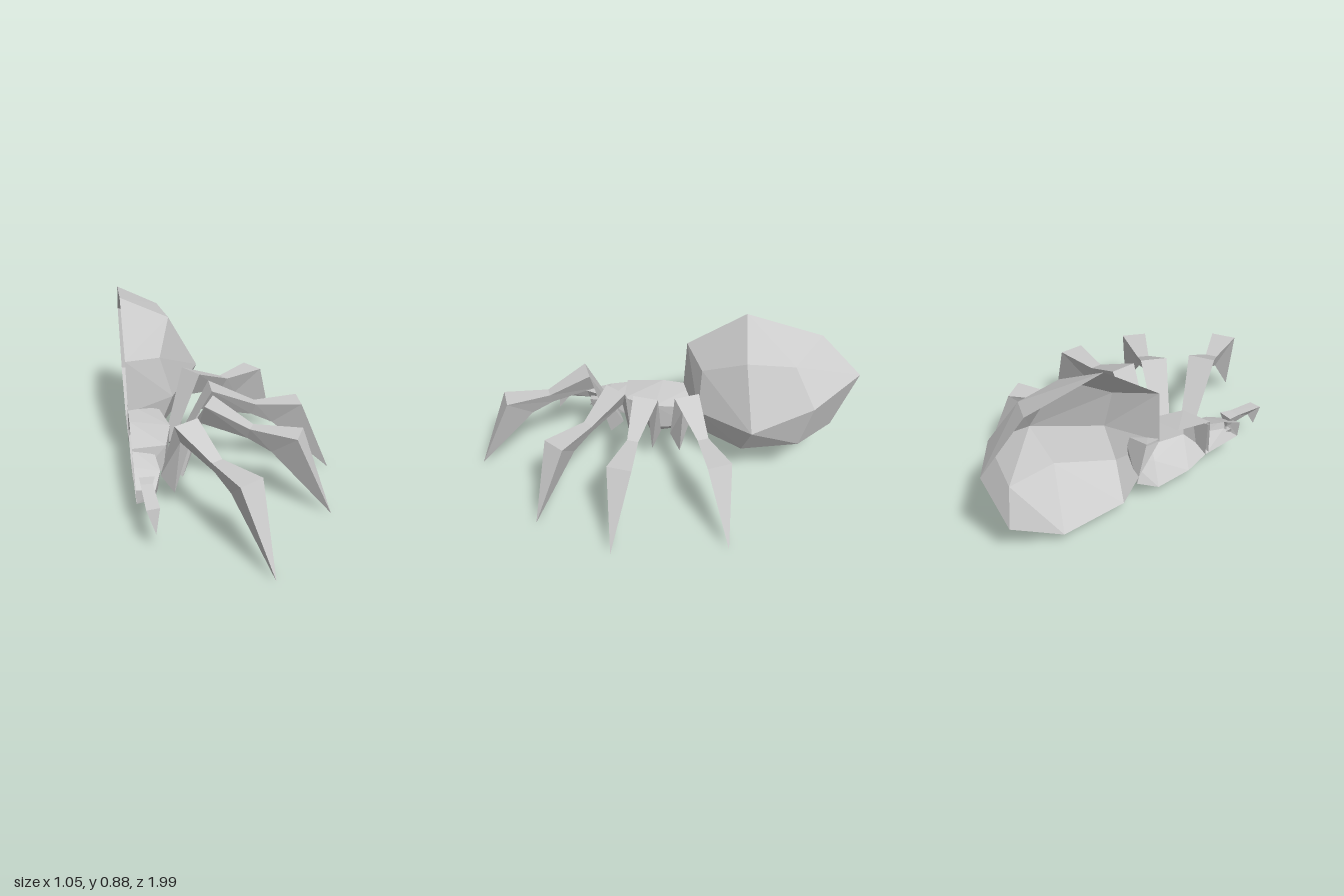
import * as THREE from 'three';
import { ConvexGeometry } from 'three/addons/geometries/ConvexGeometry.js';

const CUT = -0.53; // plane where the half body is left open

function toGeometry(positions) {
  const g = new THREE.BufferGeometry();
  g.setAttribute('position', new THREE.Float32BufferAttribute(positions, 3));
  g.computeVertexNormals();
  return g;
}

// Faceted hull with the faces lying on the cut plane removed
function halfHull(points) {
  const pos = new ConvexGeometry(points.map(p => new THREE.Vector3(...p))).getAttribute('position');
  const out = [];
  for (let i = 0; i < pos.count; i += 3) {
    const tri = [i, i + 1, i + 2];
    if (tri.every(k => pos.getX(k) < CUT + 0.001)) continue;
    tri.forEach(k => out.push(pos.getX(k), pos.getY(k), pos.getZ(k)));
  }
  return toGeometry(out);
}

// Three-sided limb: sections are [left, right, underside], closing in a tip
function limb(sections, tip) {
  const out = [];
  const tri = (...pts) => pts.forEach(p => out.push(...p));
  const [l, r, b] = sections[0];
  tri(l, b, r);
  sections.forEach((s, k) => {
    const next = sections[k + 1];
    for (let i = 0; i < 3; i++) {
      const j = (i + 1) % 3;
      if (next) {
        tri(s[i], s[j], next[j]);
        tri(s[i], next[j], next[i]);
      } else tri(s[i], s[j], tip);
    }
  });
  return toGeometry(out);
}

// Joint heights, half widths and underside offsets shared by all legs
const JOINTS = [
  { y: 0.17, w: 0.032, back: -0.07, low: 0.09 },
  { y: 0.53, w: 0.068, back: 0.05, low: 0.405 },
  { y: 0.42, w: 0.03, back: 0.02, low: 0.355 },
  { y: 0.42, w: 0.065, back: 0.14, low: 0.30 },
];

function legGeometry(plan) {
  const [p0, p4] = [plan[1], plan[4]];
  const len = Math.hypot(p4[0] - p0[0], p4[1] - p0[1]);
  const dx = (p4[0] - p0[0]) / len, dz = (p4[1] - p0[1]) / len;
  const sections = JOINTS.map((j, i) => {
    const [x, z] = plan[i];
    return [
      [x + dz * j.w, j.y, z - dx * j.w],
      [x - dz * j.w, j.y, z + dx * j.w],
      [x - dx * j.back, j.low, z - dz * j.back],
    ];
  });
  return limb(sections, [p4[0], 0, p4[1]]);
}

export function createModel() {
  const model = new THREE.Group();
  const grey = new THREE.MeshStandardMaterial({ color: 0xcccccc, flatShading: true, side: THREE.DoubleSide });
  grey.name = 'plain grey';
  const add = (name, geometry) => {
    const mesh = new THREE.Mesh(geometry, grey);
    mesh.name = name;
    model.add(mesh);
  };

  // Abdomen: rim on the cut plane, then the bulging side
  add('abdomen', halfHull([
    [CUT, 0.64, -0.055], [CUT, 0.875, -0.375], [CUT, 0.81, -0.78], [CUT, 0.605, -1],
    [CUT, 0.26, -0.885], [CUT, 0.07, -0.6], [CUT, 0.08, -0.25], [CUT, 0.36, -0.04],
    [-0.345, 0.598, -0.185], [-0.272, 0.73, -0.435], [-0.315, 0.73, -0.68],
    [-0.246, 0.535, -0.805], [-0.114, 0.41, -0.51], [-0.283, 0.37, -0.185],
    [-0.29, 0.265, -0.74], [-0.22, 0.22, -0.445], [-0.36, 0.2, -0.17],
  ]));

  // Thorax
  add('thorax', halfHull([
    [CUT, 0.375, -0.12], [CUT, 0.37, 0.08], [CUT, 0.33, 0.295],
    [-0.362, 0.33, -0.12], [-0.325, 0.33, 0.075], [-0.362, 0.32, 0.265],
    [-0.37, 0.2, -0.12], [-0.34, 0.17, 0.075], [-0.38, 0.18, 0.26],
    [CUT, 0.16, -0.17], [CUT, 0.07, -0.03], [CUT, 0.08, 0.17], [CUT, 0.14, 0.3],
    [-0.4, 0.115, 0.05],
  ]));

  // Head
  add('head', halfHull([
    [CUT, 0.32, 0.28], [CUT, 0.285, 0.395], [CUT, 0.23, 0.515],
    [-0.42, 0.28, 0.28], [-0.405, 0.25, 0.39], [-0.437, 0.215, 0.5],
    [-0.42, 0.17, 0.28], [-0.42, 0.16, 0.4], [-0.445, 0.155, 0.49],
    [CUT, 0.13, 0.28], [CUT, 0.15, 0.505],
  ]));

  // Feeler beside the mouth
  add('feeler', limb([
    [[-0.435, 0.265, 0.46], [-0.51, 0.265, 0.46], [-0.475, 0.19, 0.47]],
    [[-0.45, 0.262, 0.52], [-0.507, 0.262, 0.52], [-0.48, 0.2, 0.52]],
    [[-0.432, 0.235, 0.69], [-0.495, 0.235, 0.7], [-0.465, 0.195, 0.64]],
  ], [-0.455, 0.105, 0.705]));

  // Small fang
  add('fang', limb([
    [[-0.465, 0.18, 0.49], [-0.495, 0.18, 0.49], [-0.48, 0.165, 0.47]],
  ], [-0.485, 0.135, 0.525]));

  // Legs: plan positions (x, z) of base, peak, middle, knee and tip
  const legs = {
    frontLeg: [[-0.37, 0.28], [-0.28, 0.447], [-0.165, 0.635], [-0.045, 0.842], [0.04, 0.99]],
    secondLeg: [[-0.34, 0.165], [-0.145, 0.238], [0.05, 0.33], [0.267, 0.44], [0.42, 0.508]],
    thirdLeg: [[-0.315, 0.065], [-0.114, 0.063], [0.12, 0.063], [0.35, 0.063], [0.525, 0.063]],
    backLeg: [[-0.325, -0.05], [-0.188, -0.142], [0.008, -0.28], [0.193, -0.41], [0.33, -0.508]],
  };
  for (const [name, plan] of Object.entries(legs)) add(name, legGeometry(plan));

  return model;
}
